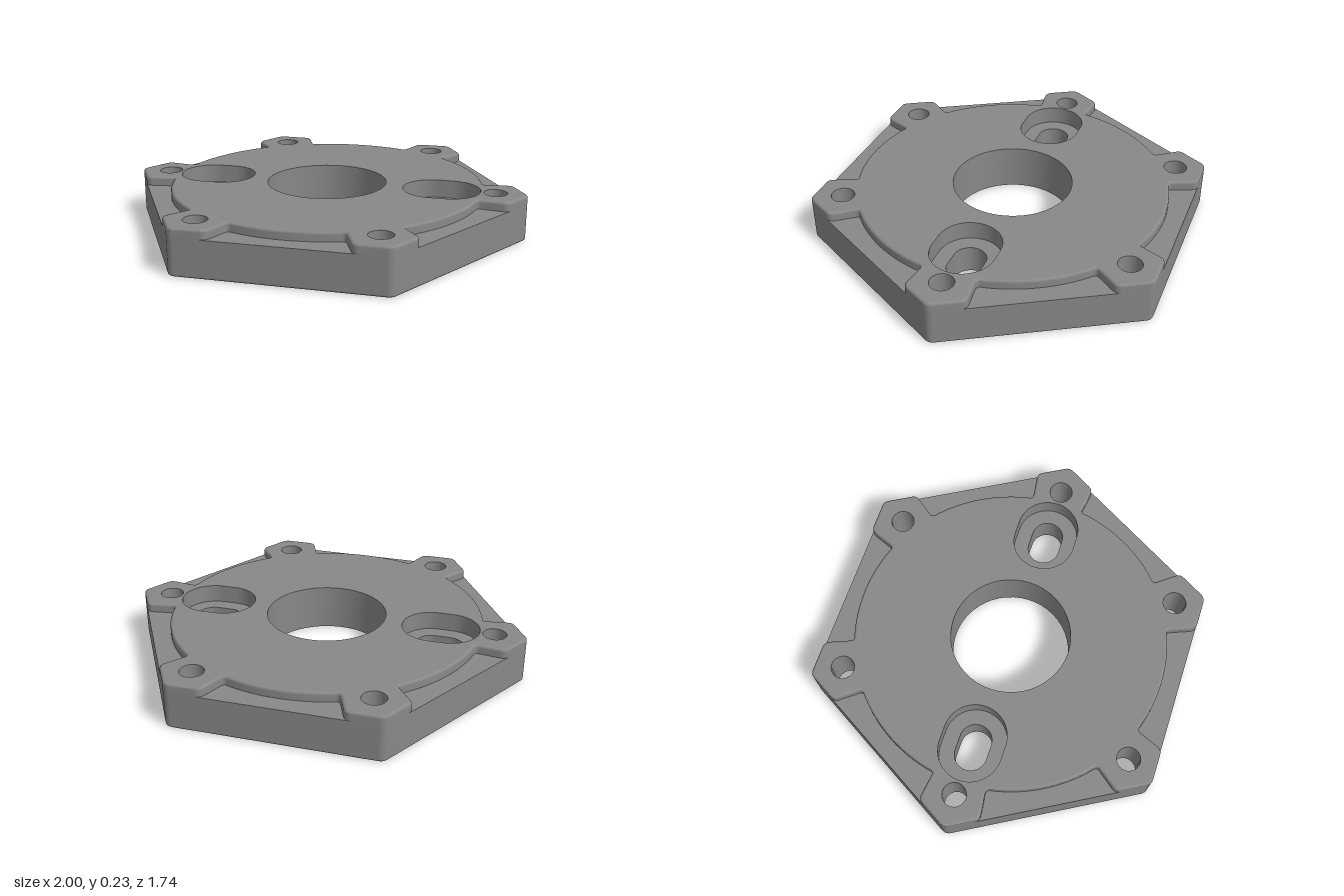
import * as THREE from 'three';

const APOTHEM = 0.872, HEIGHT = 0.23, RECESS_Y = 0.185, POCKET_Y = 0.138, EDGE = 0.012;

const grey = new THREE.MeshStandardMaterial({ color: 0x888888 });
grey.name = 'machined grey';

// Polygon with each [x, y, d] corner rounded from distance d along its edges
function rounded(corners) {
  const pts = [];
  corners.forEach(([x, y, d], i) => {
    const c = new THREE.Vector2(x, y);
    if (!d) return pts.push(c);
    const toward = ([a, b]) => new THREE.Vector2(a, b).sub(c).setLength(d).add(c);
    const n = corners.length;
    const curve = new THREE.QuadraticBezierCurve(
      toward(corners[(i + n - 1) % n]), c, toward(corners[(i + 1) % n]));
    pts.push(...curve.getPoints(6));
  });
  return pts;
}

// Repeats one side of the hexagon six times, counter-clockwise
function sixSides(side) {
  const corners = [];
  for (let k = 0; k < 6; k++) {
    const c = Math.cos(k * Math.PI / 3), s = Math.sin(k * Math.PI / 3);
    for (const [x, y, d] of side) corners.push([x * c - y * s, x * s + y * c, d]);
  }
  return rounded(corners);
}

// Slot along x; halfLength 0 gives a circle
function slot(cx, cy, r, halfLength = 0) {
  const pts = [], half = 24;
  for (const end of [1, -1]) {
    for (let i = 0; i <= half; i++) {
      if (!halfLength && i === half) continue;
      const a = -Math.PI / 2 + Math.PI * i / half;
      pts.push(new THREE.Vector2(
        cx + end * (halfLength + r * Math.cos(a)), cy + end * r * Math.sin(a)));
    }
  }
  return pts;
}

// Moves a counter-clockwise outline inwards
function inset(pts, dist) {
  const n = pts.length;
  return pts.map((p, i) => {
    const a = p.clone().sub(pts[(i + n - 1) % n]).normalize();
    const b = pts[(i + 1) % n].clone().sub(p).normalize();
    const m = new THREE.Vector2(-a.y - b.y, a.x + b.x).normalize();
    return m.multiplyScalar(dist / (m.x * -a.y + m.y * a.x)).add(p);
  });
}

// Smooth wall through [y, outline] layers from low to high
function wall(layers) {
  const pos = [], index = [], n = layers[0][1].length;
  for (const [y, pts] of layers) for (const p of pts) pos.push(p.x, y, -p.y);
  for (let l = 0; l < layers.length - 1; l++) {
    for (let i = 0; i < n; i++) {
      const a = l * n + i, b = l * n + (i + 1) % n;
      index.push(a, b, b + n, a, b + n, a + n);
    }
  }
  const g = new THREE.BufferGeometry();
  g.setAttribute('position', new THREE.Float32BufferAttribute(pos, 3));
  g.setIndex(index);
  g.computeVertexNormals();
  return g;
}

function holeWall(pts, y0, y1) {
  const inward = [...pts].reverse();
  return wall([[y0, inward], [y1, inward]]);
}

// Flat face with holes, facing up or down
function face(outline, holes, y, up = true) {
  const shape = new THREE.Shape(outline);
  shape.holes = holes.map(h => new THREE.Path(h));
  return new THREE.ShapeGeometry(shape).rotateX(up ? -Math.PI / 2 : Math.PI / 2).translate(0, y, 0);
}

export function createModel() {
  const model = new THREE.Group();
  model.name = 'hexagonalFlange';
  const add = (name, geometry) => {
    const mesh = new THREE.Mesh(geometry, grey);
    mesh.name = name;
    model.add(mesh);
  };

  // Outlines: plain hexagon, and raised disc with six corner lugs
  const cornerX = APOTHEM * Math.tan(Math.PI / 6);
  const hexagon = sixSides([[cornerX, APOTHEM, 0.026]]);
  const side = [[cornerX, APOTHEM, 0.026], [0.327, APOTHEM, 0.028], [0.271, 0.734, 0.02]];
  for (let i = -6; i <= 6; i++) {
    const a = i / 6 * 0.3;
    side.push([-0.783 * Math.sin(a), 0.783 * Math.cos(a), 0]);
  }
  side.push([-0.271, 0.734, 0.02], [-0.327, APOTHEM, 0.028]);
  const raised = sixSides(side);

  // Holes
  const bore = slot(0, 0, 0.3);
  const bolts = [];
  for (let k = 0; k < 6; k++) {
    const a = k * Math.PI / 3;
    bolts.push(slot(0.847 * Math.cos(a), 0.847 * Math.sin(a), 0.058));
  }
  const slots = [-1, 1].map(s => slot(s * 0.583, 0, 0.08, 0.037));
  const pockets = [-1, 1].map(s => slot(s * 0.583, 0, 0.155, 0.037));
  const round = [bore, ...bolts];

  // Rounded edge profile as [rise, inset] steps
  const edge = [0, 1, 2, 3].map(i => {
    const a = i * Math.PI / 6;
    return [EDGE * Math.sin(a), EDGE * (1 - Math.cos(a))];
  });

  // Base plate
  add('baseWall', wall([
    ...[...edge].reverse().map(([h, d]) => [EDGE - h, inset(hexagon, d)]),
    [RECESS_Y, hexagon],
  ]));
  add('bottomFace', face(inset(hexagon, EDGE), [...round, ...slots], 0, false));
  add('recessFloor', face(hexagon, [...round, ...pockets], RECESS_Y));

  // Raised disc and lugs
  add('raisedWall', wall([
    [RECESS_Y, raised],
    ...edge.map(([h, d]) => [HEIGHT - EDGE + h, inset(raised, d)]),
  ]));
  add('topFace', face(inset(raised, EDGE), [...round, ...pockets], HEIGHT));

  // Hole linings
  add('centreBore', holeWall(bore, 0, HEIGHT));
  bolts.forEach((b, i) => add(`boltHole${i + 1}`, holeWall(b, 0, HEIGHT)));
  ['right', 'left'].forEach((name, i) => {
    add(`${name}SlotWall`, holeWall(slots[i], 0, POCKET_Y));
    add(`${name}PocketFloor`, face(pockets[i], [slots[i]], POCKET_Y));
    add(`${name}PocketWall`, holeWall(pockets[i], POCKET_Y, HEIGHT));
  });
  return model;
}
